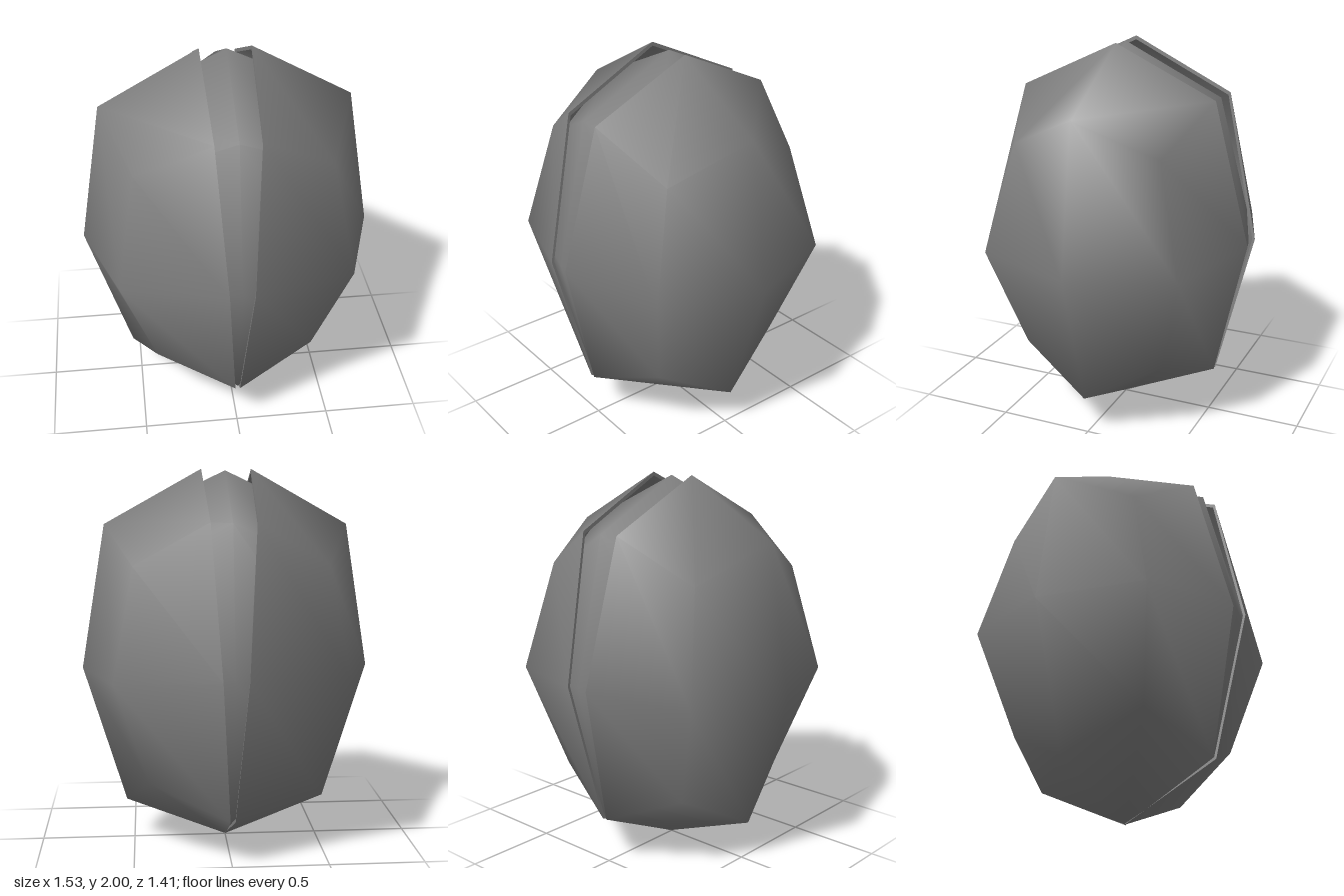
import * as THREE from 'three';
import { mergeVertices } from 'three/addons/utils/BufferGeometryUtils.js';

const PULL = [0, 1, 0.75, 5 / 9]; // face centre, edge and corner distances

// Rounded cube of 24 quads, stretched to an egg; xSides picks which halves to build
function eggGeometry(rx, ry, rz, xSides) {
  const positions = [];
  const put = (p) => {
    const k = PULL[p.filter((c) => c !== 0).length];
    positions.push(p[0] * k * rx, p[1] * k * ry, p[2] * k * rz);
  };
  for (const sx of xSides) for (const sy of [-1, 1]) for (const sz of [-1, 1]) {
    const corner = [sx, sy, sz];
    const even = sx * sy * sz > 0;
    for (let axis = 0; axis < 3; axis++) {
      const next = (axis + 1) % 3, prev = (axis + 2) % 3;
      const keep = (...axes) => corner.map((c, i) => (axes.includes(i) ? c : 0));
      const centre = keep(axis), e1 = keep(axis, next), e2 = keep(axis, prev);
      const [a, b] = even ? [e1, e2] : [e2, e1];
      // The four quads of a face are all split along the same direction
      const splitAtCorner = even !== (axis === 2);
      const triangles = splitAtCorner
        ? [centre, a, corner, centre, corner, b]
        : [centre, a, b, a, corner, b];
      triangles.forEach(put);
    }
  }
  const geometry = new THREE.BufferGeometry();
  geometry.setAttribute('position', new THREE.Float32BufferAttribute(positions, 3));
  const merged = mergeVertices(geometry, 1e-4);
  merged.computeVertexNormals();
  return merged;
}

// Flat octagonal band that gives the cut edge of a shell its thickness
function rimGeometry(ry, rz, inner) {
  const octagon = (scale) => Array.from({ length: 8 }, (_, i) => {
    const k = (i % 2 ? 0.75 * Math.SQRT2 : 1) * scale;
    const angle = (i * Math.PI) / 4;
    return new THREE.Vector2(Math.cos(angle) * k * rz, Math.sin(angle) * k * ry);
  });
  const shape = new THREE.Shape(octagon(1));
  shape.holes.push(new THREE.Path(octagon(inner)));
  return new THREE.ShapeGeometry(shape).rotateY(Math.PI / 2);
}

export function createModel() {
  const model = new THREE.Group();
  model.name = 'splitEgg';
  const material = new THREE.MeshStandardMaterial({ color: 0x808080, side: THREE.DoubleSide });

  // Inner body, slightly smaller than the shells
  const core = new THREE.Mesh(eggGeometry(0.69, 0.99, 0.69, [-1, 1]), material);
  core.name = 'innerBody';
  core.position.y = 1;
  model.add(core);

  // Two half shells, hinged open about the bottom tip
  for (const [name, side, tilt] of [['leftShell', 1, 3.7], ['rightShell', -1, 4]]) {
    const half = new THREE.Group();
    half.name = name;
    const shell = new THREE.Mesh(eggGeometry(0.704, 1.002, 0.703, [side]), material);
    shell.name = 'shell';
    const rim = new THREE.Mesh(rimGeometry(1.002, 0.703, 0.98), material);
    rim.name = 'shellRim';
    shell.position.y = rim.position.y = 1;
    half.add(shell, rim);
    half.position.x = -side * 0.004;
    half.rotation.z = -side * THREE.MathUtils.degToRad(tilt);
    model.add(half);
  }
  return model;
}
